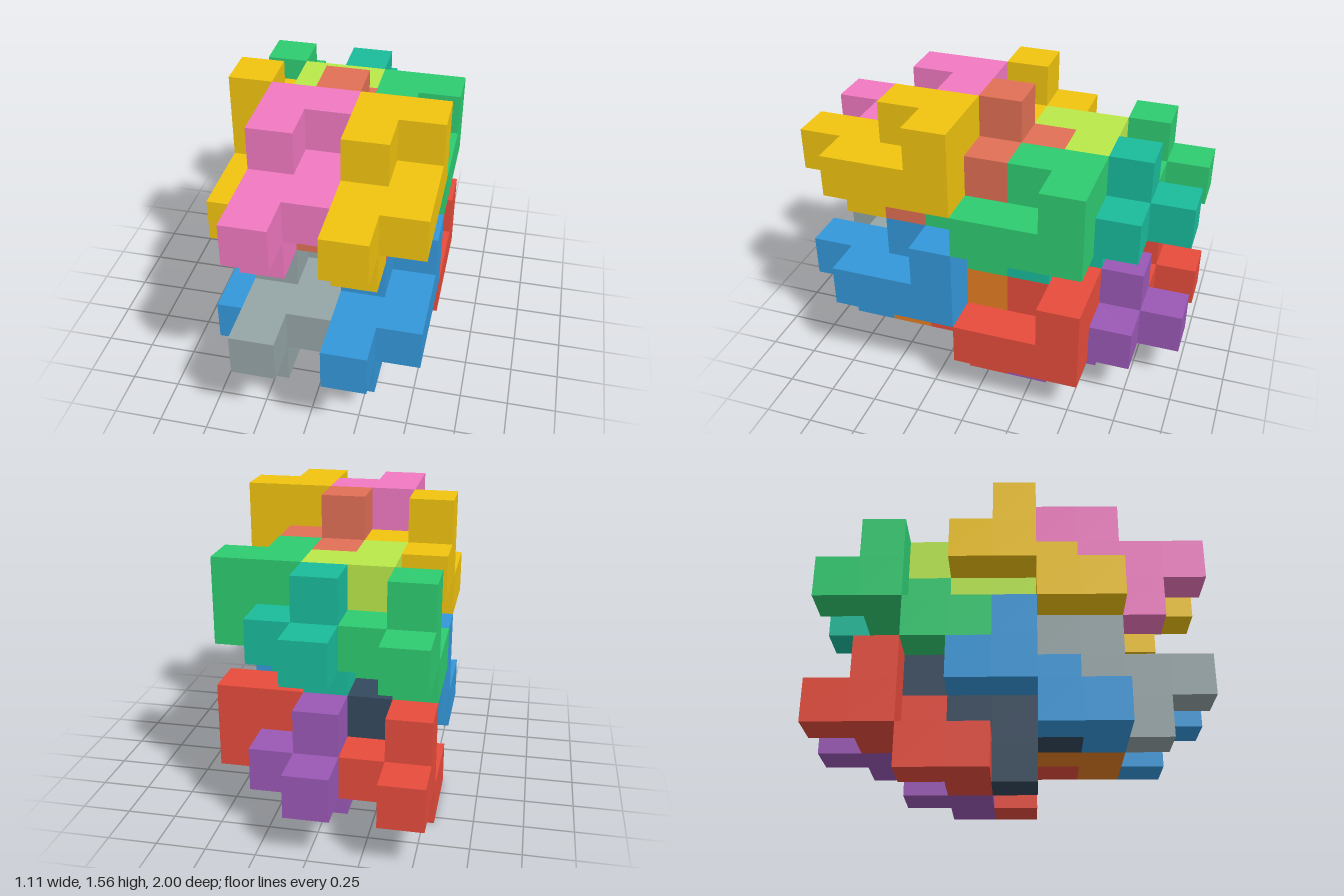
import * as THREE from 'three';
import { mergeGeometries } from 'three/addons/utils/BufferGeometryUtils.js';

const U = 2 / 9; // edge of one cube cell

// Each block is two slices of cells, one per x step; a cell is [z step, y step].
const WIDE = [
  [[5, 6], [6, 6], [6, 5], [7, 5], [8, 5], [7, 4]],
  [[5, 6], [5, 5], [6, 5], [7, 5]],
];
const HOOK = [
  [[4, 6], [3, 5], [4, 5], [5, 4], [6, 4]],
  [[4, 5], [5, 5], [6, 4]],
];

const DIRECTIONS = [[1, 0, 0], [-1, 0, 0], [0, 1, 0], [0, -1, 0], [0, 0, 1], [0, 0, -1]];

// Outer skin of a block: one square for every cell side without a neighbour.
function blockGeometry(slices) {
  const cells = slices.flatMap((slice, x) => slice.map(([z, y]) => [x, y, z]));
  const filled = new Set(cells.map(String));
  const zAxis = new THREE.Vector3(0, 0, 1);
  const faces = [];
  for (const [x, y, z] of cells) {
    for (const [dx, dy, dz] of DIRECTIONS) {
      if (filled.has(String([x + dx, y + dy, z + dz]))) continue;
      const turn = new THREE.Quaternion();
      if (dz === -1) turn.setFromAxisAngle(new THREE.Vector3(0, 1, 0), Math.PI);
      else turn.setFromUnitVectors(zAxis, new THREE.Vector3(dx, dy, dz));
      const face = new THREE.PlaneGeometry(U, U).applyQuaternion(turn);
      face.translate((x - 2 + dx / 2) * U, (y + 0.5 + dy / 2) * U, (z - 4 + dz / 2) * U);
      faces.push(face);
    }
  }
  return mergeGeometries(faces);
}

export function createModel() {
  const group = new THREE.Group();
  const wide = blockGeometry(WIDE);
  const hook = blockGeometry(HOOK);

  // Four interlocking blocks make a row: [name, geometry, x step].
  const row = [
    ['RightHook', hook, 0],
    ['RightWide', wide, 1],
    ['MiddleHook', hook, 2],
    ['LeftWide', wide, 3],
  ];

  // Rows step back and down; the lower tier repeats the upper three cells below.
  const rows = [
    { name: 'upperFront', y: 0, z: 0, colors: [0xf1c40f, 0xf179c1, 0xe17055, 0xf1c40f] },
    { name: 'upperBack', y: -1, z: -3, colors: [0x2ecc71, 0xbaea4a, 0x1abc9c, 0x2ecc71] },
    { name: 'lowerFront', y: -3, z: 0, colors: [0x3498db, 0x95a5a6, 0xe67e22, 0x3498db] },
    { name: 'lowerBack', y: -4, z: -3, colors: [0xe74c3c, 0x34495e, 0x9b59b6, 0xe74c3c] },
  ];

  for (const { name, y, z, colors } of rows) {
    row.forEach(([part, geometry, x], i) => {
      const material = new THREE.MeshStandardMaterial({ color: colors[i] });
      const block = new THREE.Mesh(geometry, material);
      block.name = name + part + 'Block';
      block.position.set(x * U, y * U, z * U);
      group.add(block);
    });
  }
  return group;
}
